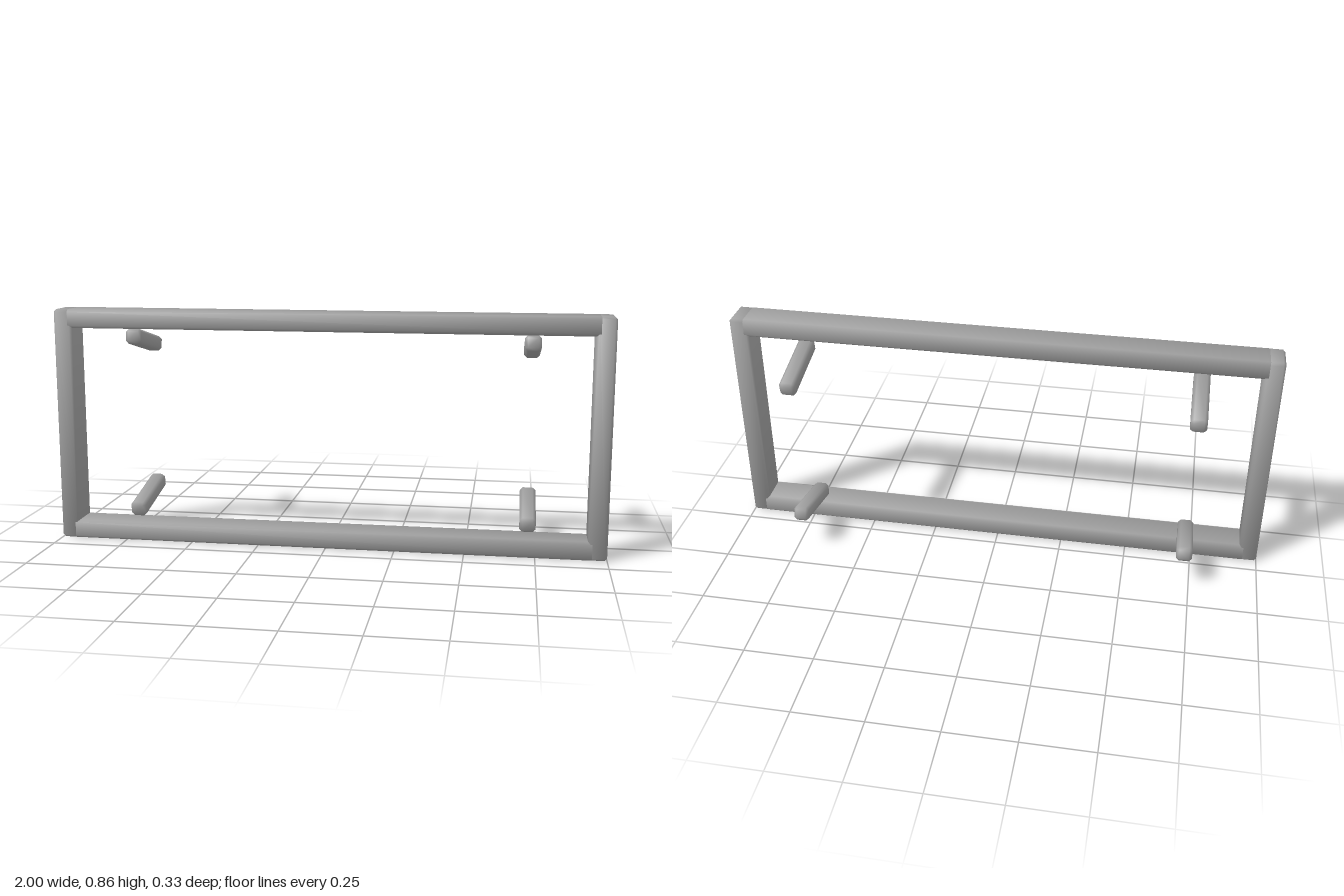
import * as THREE from 'three';
import { ConvexGeometry } from 'three/addons/geometries/ConvexGeometry.js';

const AXES = ['x', 'y', 'z'];

// Box with single chamfered edges, shaded smoothly across the chamfers.
function chamferBox(w, h, d, c) {
  const half = new THREE.Vector3(w / 2, h / 2, d / 2);
  const points = [];
  for (const sx of [-1, 1]) for (const sy of [-1, 1]) for (const sz of [-1, 1]) {
    for (const axis of AXES) {
      const p = half.clone().subScalar(c);
      p[axis] = half[axis];
      points.push(p.multiply(new THREE.Vector3(sx, sy, sz)));
    }
  }
  const geometry = new ConvexGeometry(points);
  // Each corner normal leans from its main face towards the neighbouring faces
  const pos = geometry.attributes.position;
  const p = new THREE.Vector3(), n = new THREE.Vector3();
  for (let i = 0; i < pos.count; i++) {
    p.fromBufferAttribute(pos, i);
    for (const axis of AXES) {
      const onFace = Math.abs(p[axis]) > half[axis] - c / 2;
      n[axis] = Math.sign(p[axis]) * (onFace ? 0.87 : 0.34);
    }
    n.normalize();
    geometry.attributes.normal.setXYZ(i, n.x, n.y, n.z);
  }
  return geometry;
}

export function createModel() {
  const model = new THREE.Group();
  model.name = 'wallFrame';
  const metal = new THREE.MeshStandardMaterial({ color: 0xa0a0a0 });
  metal.name = 'grey metal';

  const add = (name, geometry, x, y, z, tilt = 0) => {
    const mesh = new THREE.Mesh(geometry, metal);
    mesh.name = name;
    mesh.position.set(x, y, z);
    mesh.rotation.x = tilt;
    model.add(mesh);
  };

  const height = 0.855, frameZ = 0.109, pegY = 0.128;
  const post = chamferBox(0.068, height, 0.118, 0.009);
  const rail = chamferBox(1.912, 0.068, 0.119, 0.009);
  const peg = chamferBox(0.058, 0.056, 0.27, 0.011);

  // Side posts
  for (const s of [-1, 1]) add(s > 0 ? 'leftPost' : 'rightPost', post, s * 0.966, height / 2, frameZ);

  // Top and bottom rails, each with two pegs leaning inwards behind the frame
  for (const v of [-1, 1]) {
    const level = v > 0 ? 'top' : 'bottom';
    add(level + 'Rail', rail, 0, height / 2 + v * (height / 2 - 0.0335), frameZ);
    for (const s of [-1, 1]) {
      add(level + (s > 0 ? 'LeftPeg' : 'RightPeg'), peg,
        s * 0.723, height / 2 + v * (height / 2 - pegY), -0.0275, -v * 0.22);
    }
  }
  return model;
}
